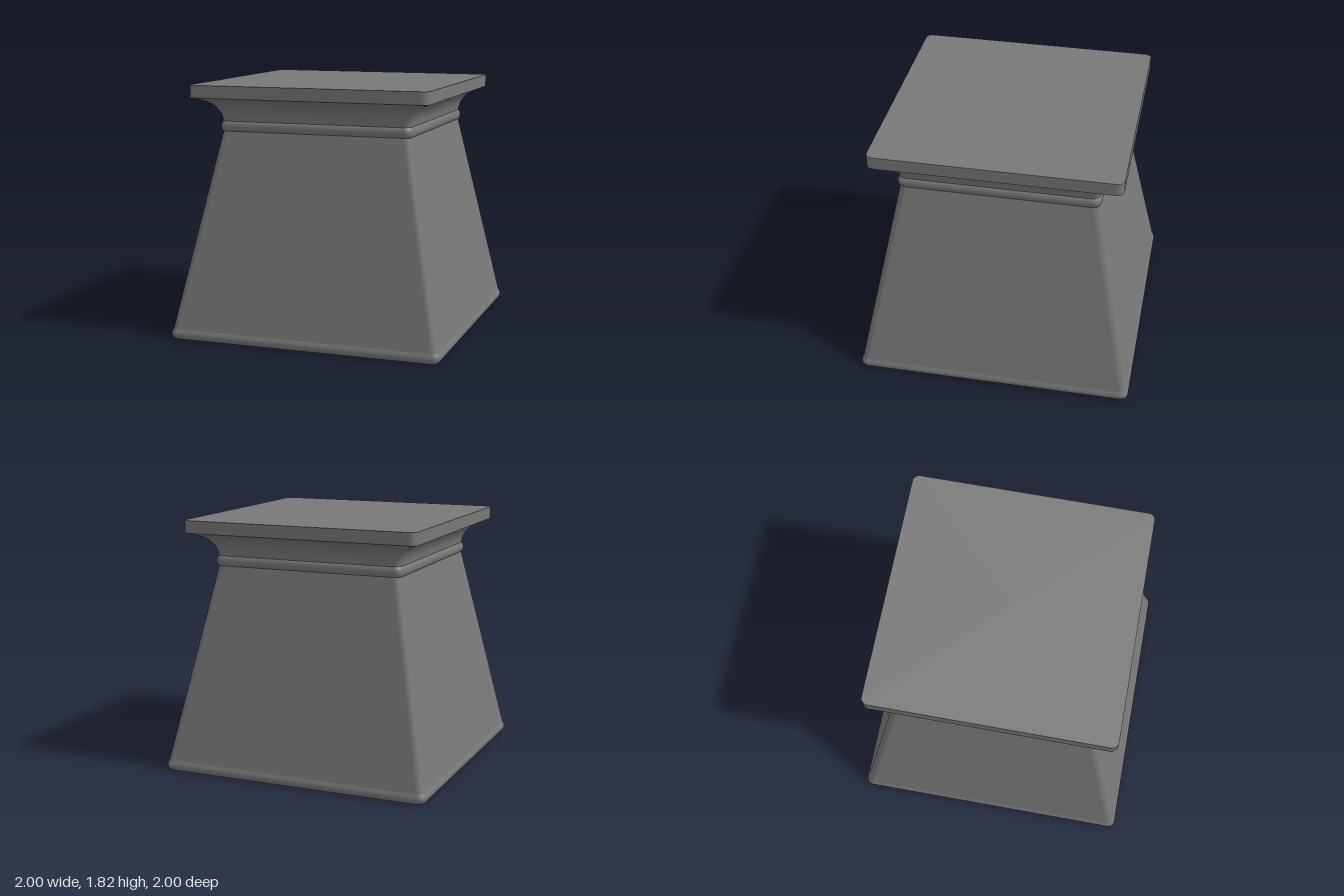
import * as THREE from 'three';

const RADIUS = 0.05; // plan corner radius
const STEPS = 8;     // segments per rounded corner

// Rounded-square ring of the given half width: [x, z, outward nx, outward nz]
function ring(half) {
  const r = Math.min(RADIUS, half), pts = [];
  for (let c = 0; c < 4; c++) {
    const mid = Math.PI / 4 + c * Math.PI / 2;
    const cx = Math.sign(Math.cos(mid)) * (half - r);
    const cz = Math.sign(Math.sin(mid)) * (half - r);
    for (let i = 0; i <= STEPS; i++) {
      const a = (c + i / STEPS) * Math.PI / 2;
      pts.push([cx + r * Math.cos(a), cz + r * Math.sin(a), Math.cos(a), Math.sin(a)]);
    }
  }
  return pts;
}

// Sweep a [half width, y] profile around the rounded square, smooth along its length
function sweep(profile) {
  const pos = [], nor = [], idx = [], n = 4 * (STEPS + 1);
  profile.forEach(([half, y], k) => {
    const p = profile[Math.max(k - 1, 0)], q = profile[Math.min(k + 1, profile.length - 1)];
    const out = q[1] - p[1], up = p[0] - q[0], len = Math.hypot(out, up);
    for (const [x, z, nx, nz] of ring(half)) {
      pos.push(x, y, z);
      nor.push(nx * out / len, up / len, nz * out / len);
    }
    if (k === 0) return;
    for (let i = 0; i < n; i++) {
      const j = (i + 1) % n, a = (k - 1) * n, b = k * n;
      idx.push(a + i, b + i, a + j, a + j, b + i, b + j);
    }
  });
  const g = new THREE.BufferGeometry();
  g.setAttribute('position', new THREE.Float32BufferAttribute(pos, 3));
  g.setAttribute('normal', new THREE.Float32BufferAttribute(nor, 3));
  g.setIndex(idx);
  return g;
}

// Smooth profile through a few [half width, y] points
function spline(points, steps = 20) {
  const curve = new THREE.SplineCurve(points.map(([x, y]) => new THREE.Vector2(x, y)));
  return curve.getPoints(steps).map((p) => [p.x, p.y]);
}

export function createModel() {
  const group = new THREE.Group();
  const material = new THREE.MeshStandardMaterial({ color: 0x787878 });
  const add = (name, profile) => {
    const mesh = new THREE.Mesh(sweep(profile), material);
    mesh.name = name;
    group.add(mesh);
  };

  // Flat underside
  add('underside', [[0, 0], [0.982, 0]]);

  // Tapered body, its rounded foot blending into the slope
  add('body', [
    ...spline([[0.982, 0], [0.995, 0.016], [1, 0.036], [0.996, 0.055], [0.987, 0.075]], 12),
    [0.978, 0.12], [0.70, 1.484],
  ]);

  // Bead around the neck
  add('neckBead', spline([[0.70, 1.484], [0.709, 1.498], [0.713, 1.52], [0.709, 1.542], [0.70, 1.556]], 16));

  // Cove flaring out to the slab
  add('cove', spline([[0.70, 1.556], [0.711, 1.608], [0.737, 1.655], [0.768, 1.685], [0.81, 1.707], [0.875, 1.73]]));

  // Top slab
  add('slabEdge', [[0.875, 1.73], [0.875, 1.82]]);
  add('slabTop', [[0.875, 1.82], [0, 1.82]]);

  return group;
}
